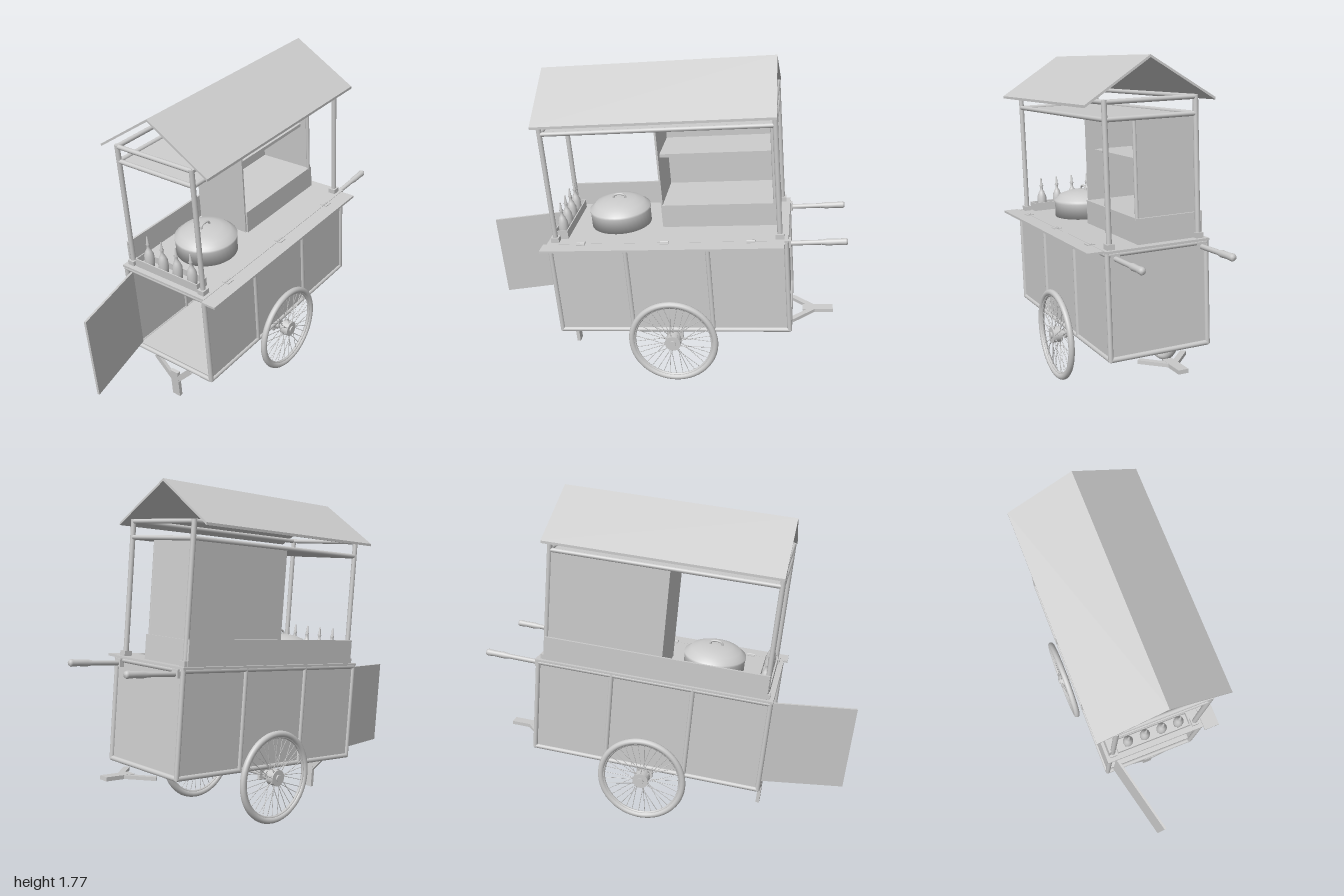
import * as THREE from 'three';

const mat = new THREE.MeshStandardMaterial({ color: 0xcccccc, side: THREE.DoubleSide });
const V = (x, y, z) => new THREE.Vector3(x, y, z);

function add(parent, name, geo, x = 0, y = 0, z = 0) {
  const m = new THREE.Mesh(geo, mat);
  m.name = name;
  m.position.set(x, y, z);
  parent.add(m);
  return m;
}

// Box given by its lower and upper limits on each axis
function box(parent, name, x0, x1, y0, y1, z0, z1) {
  return add(parent, name, new THREE.BoxGeometry(x1 - x0, y1 - y0, z1 - z0),
    (x0 + x1) / 2, (y0 + y1) / 2, (z0 + z1) / 2);
}

// Round bar between two points
function bar(parent, name, a, b, r, sides = 12, r2 = r) {
  const d = b.clone().sub(a);
  const m = add(parent, name, new THREE.CylinderGeometry(r2, r, d.length(), sides));
  m.position.copy(a).add(b).multiplyScalar(0.5);
  m.quaternion.setFromUnitVectors(V(0, 1, 0), d.normalize());
  return m;
}

function lathe(parent, name, pts, x, y, z, seg = 24) {
  return add(parent, name, new THREE.LatheGeometry(pts.map(p => new THREE.Vector2(...p)), seg), x, y, z);
}

// Y-shaped prop hanging down from its group origin
function prop(name) {
  const g = new THREE.Group();
  g.name = name;
  box(g, 'propStem', -0.01, 0.01, -0.225, -0.06, -0.026, 0.026);
  for (const s of [-1, 1]) {
    const arm = add(g, 'propArm', new THREE.BoxGeometry(0.018, 0.165, 0.03), 0, -0.06, s * 0.066);
    arm.rotation.x = s * 0.76;
  }
  return g;
}

function wheel() {
  const g = new THREE.Group();
  g.name = 'wheel';
  add(g, 'tyre', new THREE.TorusGeometry(0.229, 0.017, 12, 56));
  add(g, 'rim', new THREE.TorusGeometry(0.214, 0.008, 8, 56));
  bar(g, 'hub', V(0, 0, -0.025), V(0, 0, 0.025), 0.043, 24);
  bar(g, 'hubCap', V(0, 0, -0.033), V(0, 0, 0.033), 0.018, 16);
  const n = 36;
  for (let i = 0; i < n; i++) {
    const a = i / n * Math.PI * 2, side = i % 2 ? 1 : -1;
    const lean = a + (i % 4 < 2 ? 0.3 : -0.3);
    bar(g, 'spoke', V(Math.cos(lean) * 0.04, Math.sin(lean) * 0.04, side * 0.018),
      V(Math.cos(a) * 0.212, Math.sin(a) * 0.212, 0), 0.0018, 5);
  }
  return g;
}

// Lower storage body: recessed panels in a tube frame, open at the door end
function buildBody(c) {
  const g = new THREE.Group();
  g.name = 'body';
  c.add(g);
  box(g, 'floor', -0.63, 0.63, 0.045, 0.055, -0.265, 0.265);
  box(g, 'endPanel', 0.617, 0.627, 0.05, 0.57, -0.265, 0.265);
  for (const s of [-1, 1]) {
    box(g, 'sidePanel', -0.63, 0.63, 0.05, 0.57, s * 0.262 - 0.004, s * 0.262 + 0.004);
    for (const x of [-0.628, -0.22, 0.22, 0.628])
      bar(g, 'frameUpright', V(x, 0.045, s * 0.264), V(x, 0.575, s * 0.264), 0.013);
    for (const y of [0.05, 0.565])
      bar(g, 'frameRail', V(-0.632, y, s * 0.264), V(0.632, y, s * 0.264), 0.013);
    for (const y of [0.05, 0.565])
      bar(g, 'frameCrossRail', V(s * 0.628, y, -0.264), V(s * 0.628, y, 0.264), 0.013);
  }
  // Door swung open from the back corner
  const door = new THREE.Group();
  door.name = 'door';
  door.position.set(-0.63, 0, -0.225);
  door.rotation.y = 0.235;
  box(door, 'doorPanel', -0.452, 0, 0.085, 0.555, -0.006, 0.006);
  g.add(door);
}

function buildCounter(c) {
  box(c, 'counter', -0.64, 0.64, 0.572, 0.584, -0.278, 0.275);
  box(c, 'frontLeaf', -0.66, 0.62, 0.572, 0.584, 0.277, 0.36);
  for (const x of [-0.45, 0, 0.45]) {
    box(c, 'leafHinge', x - 0.022, x + 0.022, 0.584, 0.588, 0.255, 0.297);
    bar(c, 'hingePin', V(x - 0.022, 0.588, 0.276), V(x + 0.022, 0.588, 0.276), 0.005, 8);
  }
  box(c, 'backBoard', -0.605, 0.6, 0.584, 0.715, -0.262, -0.25);

  // Pot with domed lid
  const pot = new THREE.Group();
  pot.name = 'pot';
  pot.position.set(-0.28, 0.584, 0);
  c.add(pot);
  lathe(pot, 'potWall', [[0, 0], [0.165, 0], [0.165, 0.09], [0.158, 0.09]], 0, 0, 0, 40);
  lathe(pot, 'potLid', [[0.168, 0.082], [0.168, 0.094], [0.152, 0.102], [0.135, 0.122], [0.09, 0.137],
    [0.045, 0.143], [0, 0.145]], 0, 0, 0, 40);
  const loop = new THREE.CatmullRomCurve3([V(-0.035, 0.138, 0), V(-0.028, 0.158, 0), V(0, 0.165, 0),
    V(0.028, 0.158, 0), V(0.035, 0.138, 0)]);
  add(pot, 'lidHandle', new THREE.TubeGeometry(loop, 16, 0.006, 8));

  // Sauce bottles in a narrow tray
  box(c, 'trayBase', -0.61, -0.535, 0.584, 0.592, -0.21, 0.21);
  for (const x of [-0.61, -0.541]) box(c, 'traySide', x, x + 0.006, 0.584, 0.63, -0.21, 0.21);
  for (const z of [-0.21, 0.204]) box(c, 'trayEnd', -0.61, -0.535, 0.584, 0.63, z, z + 0.006);
  for (let i = 0; i < 4; i++)
    lathe(c, 'bottle', [[0, 0], [0.024, 0], [0.027, 0.03], [0.026, 0.07], [0.016, 0.095], [0.008, 0.11],
      [0.008, 0.128], [0.012, 0.132], [0.007, 0.14], [0.004, 0.178], [0, 0.18]], -0.573, 0.592, 0.15 - i * 0.097, 16);
}

// Display cabinet, open towards the front
function buildCabinet(c) {
  const g = new THREE.Group();
  g.name = 'cabinet';
  c.add(g);
  box(g, 'drawerBox', -0.03, 0.592, 0.584, 0.71, -0.245, 0.085);
  box(g, 'cabinetBack', -0.035, 0.595, 0.7, 1.18, -0.245, -0.237);
  box(g, 'cabinetDivider', -0.038, -0.028, 0.584, 1.18, -0.245, 0.075);
  box(g, 'cabinetSide', 0.57, 0.58, 0.7, 1.18, -0.245, 0.075);
  box(g, 'shelf', -0.03, 0.57, 0.965, 0.983, -0.237, 0.03);
  box(g, 'shelfSupport', -0.03, 0.57, 0.915, 0.965, -0.237, -0.222);
  bar(g, 'cabinetPost', V(0.572, 0.7, 0.077), V(0.572, 1.18, 0.077), 0.01);
}

function buildCanopy(c) {
  const g = new THREE.Group();
  g.name = 'canopy';
  c.add(g);
  for (const s of [-1, 1]) {
    for (const x of [-0.597, 0.597]) {
      bar(g, 'post', V(x, 0.58, s * 0.238), V(x, 1.28, s * 0.238), 0.0135);
      box(g, 'postFoot', x - 0.022, x + 0.022, 0.584, 0.61, s * 0.238 - 0.02, s * 0.238 + 0.02);
    }
    for (const y of [1.19, 1.27]) {
      bar(g, 'longBeam', V(-0.597, y, s * 0.238), V(0.597, y, s * 0.238), 0.012);
      bar(g, 'crossBeam', V(s * 0.597, y, -0.238), V(s * 0.597, y, 0.238), 0.012);
    }
  }
  box(g, 'ceiling', -0.597, 0.597, 1.18, 1.188, -0.238, 0.238);
  // Folded roof sheet
  const sh = new THREE.Shape([[-0.34, 1.25], [0, 1.463], [0.34, 1.25], [0.34, 1.263], [0, 1.476], [-0.34, 1.263]]
    .map(p => new THREE.Vector2(...p)));
  const roof = new THREE.ExtrudeGeometry(sh, { depth: 1.22, bevelEnabled: false });
  roof.translate(0, 0, -0.61).rotateY(Math.PI / 2);
  add(g, 'roof', roof);
}

function buildRunningGear(c) {
  bar(c, 'axle', V(0, 0, -0.32), V(0, 0, 0.32), 0.013);
  for (const s of [-1, 1]) {
    const w = wheel();
    w.position.z = s * 0.31;
    c.add(w);
    box(c, 'axleBracket', -0.045, 0.045, -0.025, 0.047, s * 0.235 - 0.008, s * 0.235 + 0.008);
    bar(c, 'bearing', V(0, 0, s * 0.215), V(0, 0, s * 0.262), 0.026, 16);
    // Push handles with swelling grips
    const z = s * 0.23;
    box(c, 'handleBracket', 0.625, 0.652, 0.53, 0.572, z - 0.022, z + 0.022);
    const shaft = lathe(c, 'handle', [[0, 0], [0.013, 0], [0.013, 0.17], [0.018, 0.2], [0.016, 0.25],
      [0.019, 0.29], [0.014, 0.3], [0, 0.302]], 0.636, 0.548, z, 16);
    shaft.rotation.z = -Math.PI / 2 + 0.015;
  }
  const leg = prop('rearLeg');
  leg.position.set(-0.628, 0.04, 0);
  c.add(leg);
  const folded = prop('foldedFrontLeg');
  folded.position.set(0.635, 0.024, 0);
  folded.rotation.z = Math.PI / 2;
  c.add(folded);
}

export function createModel() {
  const model = new THREE.Group();
  model.name = 'foodCart';
  // The cart leans about its axle, resting on wheels and leg
  const cart = new THREE.Group();
  cart.name = 'tiltedCart';
  cart.position.set(0.12, 0.247, -0.01);
  cart.rotation.z = 0.096;
  model.add(cart);
  for (const build of [buildBody, buildCounter, buildCabinet, buildCanopy, buildRunningGear]) build(cart);
  return model;
}
